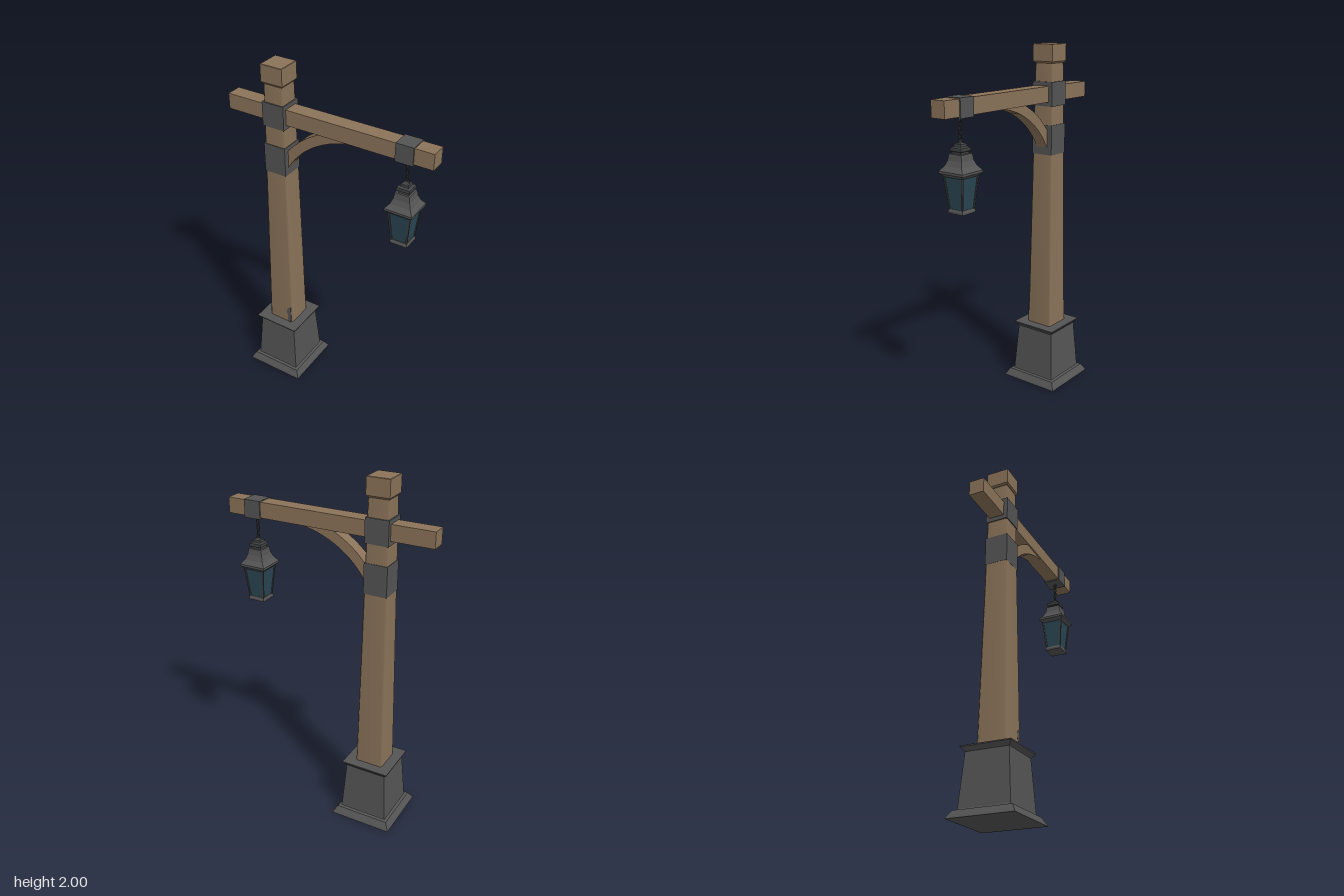
import * as THREE from 'three';

const POST_X = -0.3, LAMP_X = 0.447;

export function createModel() {
  const mat = (name, color) => {
    const m = new THREE.MeshStandardMaterial({ color });
    m.name = name;
    return m;
  };
  const wood = mat('wood', 0x8a7359);
  const iron = mat('iron', 0x545454);
  const darkIron = mat('darkIron', 0x424344);
  const glass = mat('glass', 0x2b4754);

  const model = new THREE.Group();
  model.name = 'lampPost';
  const add = (name, geometry, material, x = 0, y = 0, z = 0, parent = model) => {
    const mesh = new THREE.Mesh(geometry, material);
    mesh.name = name;
    mesh.position.set(x, y, z);
    parent.add(mesh);
    return mesh;
  };

  // Square solid from [half width, height] pairs, bottom to top, with flat faces
  const squareLathe = (profile) => {
    const pts = profile.map(([h, y]) => new THREE.Vector2(h * Math.SQRT2, y));
    const g = new THREE.LatheGeometry(pts, 4, Math.PI / 4).toNonIndexed();
    g.computeVertexNormals();
    return g;
  };

  // Stone-grey plinth with flared foot and moulded top
  add('plinth', squareLathe([
    [0, 0], [0.18, 0], [0.176, 0.01], [0.156, 0.042], [0.14, 0.046], [0.138, 0.052],
    [0.119, 0.328], [0.123, 0.334], [0.138, 0.35], [0.138, 0.356], [0, 0.356],
  ]), iron, POST_X);

  // Tapered post: chamfered square section with softened sides
  const section = [];
  const c = 0.88;
  for (const [x, z] of [[c, 1], [1, c], [1, -c], [c, -1], [-c, -1], [-1, -c], [-1, c], [-c, 1]]) section.push([x, z]);
  const rings = [[0.081, 0.35], [0.0575, 1.885], [0.052, 1.91]];
  const pos = [], idx = [], n = section.length;
  for (const [h, y] of rings) for (const [x, z] of section) pos.push(x * h, y, z * h);
  for (let r = 0; r < rings.length - 1; r++) {
    for (let i = 0; i < n; i++) {
      const a = r * n + i, b = r * n + (i + 1) % n;
      idx.push(a, b, a + n, b, b + n, a + n);
    }
  }
  const postGeo = new THREE.BufferGeometry();
  postGeo.setAttribute('position', new THREE.Float32BufferAttribute(pos, 3));
  postGeo.setIndex(idx);
  postGeo.computeVertexNormals();
  add('post', postGeo, wood, POST_X);

  // Block on top of the post
  add('postCap', squareLathe([
    [0, 1.896], [0.058, 1.896], [0.065, 1.906], [0.065, 1.998], [0.063, 2], [0, 2],
  ]), wood, POST_X);

  // Small grey patch at the foot of the post
  const patch = new THREE.Shape();
  patch.moveTo(-0.25, 0.355);
  patch.lineTo(-0.226, 0.355);
  patch.lineTo(-0.227, 0.47);
  patch.quadraticCurveTo(-0.255, 0.465, -0.255, 0.425);
  patch.lineTo(-0.247, 0.4);
  const patchMesh = add('footPatch', new THREE.ExtrudeGeometry(patch, { depth: 0.004, bevelEnabled: false }), iron, 0, 0, 0.0785);
  patchMesh.geometry.translate(0, -0.355, 0);
  patchMesh.position.y = 0.355;
  patchMesh.rotation.x = -0.0153;

  // Iron bands round the post and beam
  add('lowerBand', new THREE.BoxGeometry(0.132, 0.168, 0.132), iron, POST_X, 1.475);
  add('upperBand', new THREE.BoxGeometry(0.132, 0.134, 0.132), iron, POST_X, 1.73);
  add('lampBand', new THREE.BoxGeometry(0.098, 0.1, 0.1), iron, LAMP_X, 1.729);

  // Cross beam
  add('beam', new THREE.BoxGeometry(1.2, 0.087, 0.087), wood, 0, 1.731);

  // Curved brace under the beam
  const brace = new THREE.Shape();
  brace.moveTo(-0.245, 1.415);
  brace.bezierCurveTo(-0.17, 1.56, -0.02, 1.665, 0.17, 1.69);
  brace.lineTo(-0.03, 1.69);
  brace.quadraticCurveTo(-0.16, 1.63, -0.245, 1.52);
  add('brace', new THREE.ExtrudeGeometry(brace, { depth: 0.07, bevelEnabled: false, curveSegments: 14 }), wood, 0, 0, -0.035);

  // Lantern hung from the beam
  const lantern = new THREE.Group();
  lantern.name = 'lantern';
  lantern.position.x = LAMP_X;
  model.add(lantern);

  // Chain of alternating links
  for (let i = 0; i < 6; i++) {
    const link = add('chainLink', new THREE.TorusGeometry(0.0105, 0.0032, 6, 12), darkIron, 0, 1.572 + i * 0.0205, 0, lantern);
    link.scale.set(0.8, 1.25, 1);
    link.rotation.y = (i % 2) * Math.PI / 2;
  }
  add('hangingRing', new THREE.TorusGeometry(0.014, 0.004, 6, 14), darkIron, 0, 1.55, 0, lantern);

  // Roof and stepped finial
  add('finial', squareLathe([
    [0.03, 1.495], [0.03, 1.51], [0.037, 1.514], [0.037, 1.53], [0.024, 1.536],
    [0.022, 1.548], [0.012, 1.554], [0, 1.554],
  ]), darkIron, 0, 0, 0, lantern);
  add('roof', squareLathe([
    [0, 1.385], [0.06, 1.385], [0.078, 1.402], [0.078, 1.414], [0.058, 1.438],
    [0.046, 1.466], [0.041, 1.5], [0, 1.5],
  ]), iron, 0, 0, 0, lantern);

  // Tapered glass body
  add('glassBody', squareLathe([[0.042, 1.215], [0.059, 1.388]]), glass, 0, 0, 0, lantern);

  // Thin corner bars along the glass
  const up = new THREE.Vector3(0, 1, 0);
  for (const sx of [-1, 1]) for (const sz of [-1, 1]) {
    const a = new THREE.Vector3(sx * 0.042, 1.212, sz * 0.042);
    const b = new THREE.Vector3(sx * 0.059, 1.39, sz * 0.059);
    const bar = add('cornerBar', new THREE.BoxGeometry(0.009, a.distanceTo(b), 0.009), darkIron, 0, 0, 0, lantern);
    bar.position.copy(a).add(b).multiplyScalar(0.5);
    bar.quaternion.setFromUnitVectors(up, b.sub(a).normalize());
  }

  // Lantern foot
  add('lanternFoot', squareLathe([
    [0, 1.198], [0.049, 1.198], [0.05, 1.208], [0.045, 1.22], [0, 1.22],
  ]), iron, 0, 0, 0, lantern);

  return model;
}
